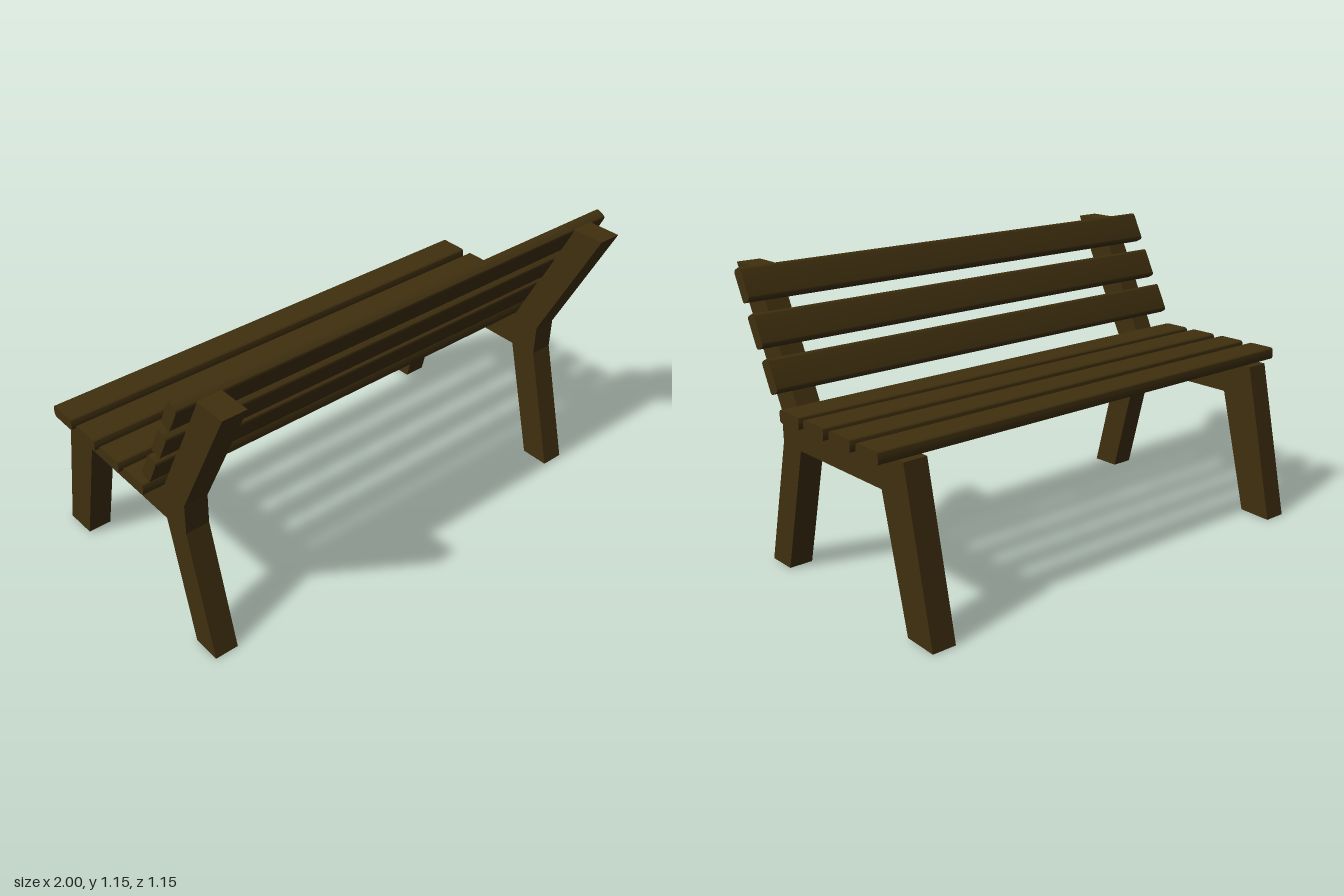
import * as THREE from 'three';
import { toCreasedNormals } from 'three/addons/utils/BufferGeometryUtils.js';

const wood = new THREE.MeshStandardMaterial({ color: 0x40300f });

// Extrude a (z, y) profile along x, centred on x = 0
function extrudeAlongX(shape, width) {
  const geometry = new THREE.ExtrudeGeometry(shape, { depth: width, bevelEnabled: false, curveSegments: 4 });
  geometry.translate(0, 0, -width / 2);
  geometry.rotateY(-Math.PI / 2);
  return geometry;
}

// Slat cross-section with softened corners
function slatShape(w, h, r) {
  const s = new THREE.Shape();
  const a = w / 2, b = h / 2;
  s.moveTo(-a + r, -b);
  s.lineTo(a - r, -b);
  s.quadraticCurveTo(a, -b, a, -b + r);
  s.lineTo(a, b - r);
  s.quadraticCurveTo(a, b, a - r, b);
  s.lineTo(-a + r, b);
  s.quadraticCurveTo(-a, b, -a, b - r);
  s.lineTo(-a, -b + r);
  s.quadraticCurveTo(-a, -b, -a + r, -b);
  return s;
}

export function createModel() {
  const bench = new THREE.Group();
  bench.name = 'bench';

  function add(name, geometry, x, y, z, tilt = 0) {
    const mesh = new THREE.Mesh(geometry, wood);
    mesh.name = name;
    mesh.position.set(x, y, z);
    mesh.rotation.x = tilt;
    bench.add(mesh);
  }

  // Side frames: both legs, seat rail and sloping back post in one outline
  const outline = [
    [0.442, 0], [0.322, 0], [0.195, 0.503], [-0.312, 0.503], [-0.437, 0.006], [-0.575, 0],
    [-0.44, 0.632], [0.19, 0.637], [0.445, 1.142], [0.58, 1.142], [0.316, 0.635], [0.313, 0.51],
  ].map(([z, y]) => new THREE.Vector2(z, y));
  const frame = extrudeAlongX(new THREE.Shape(outline), 0.096);
  add('leftFrame', frame, 0.867, 0, 0);
  add('rightFrame', frame, -0.877, 0, 0);

  // Seat slats
  const slat = toCreasedNormals(extrudeAlongX(slatShape(0.126, 0.049, 0.014), 2), 0.6);
  [0.119, -0.038, -0.198, -0.359].forEach((z, i) => add(`seatSlat${i + 1}`, slat, 0, 0.658, z));

  // Back slats, lying against the sloping posts
  const tilt = THREE.MathUtils.degToRad(-63);
  [[0.788, 0.2375], [0.937, 0.319], [1.092, 0.397]].forEach(([y, z], i) =>
    add(`backSlat${i + 1}`, slat, 0, y, z, tilt));

  return bench;
}
